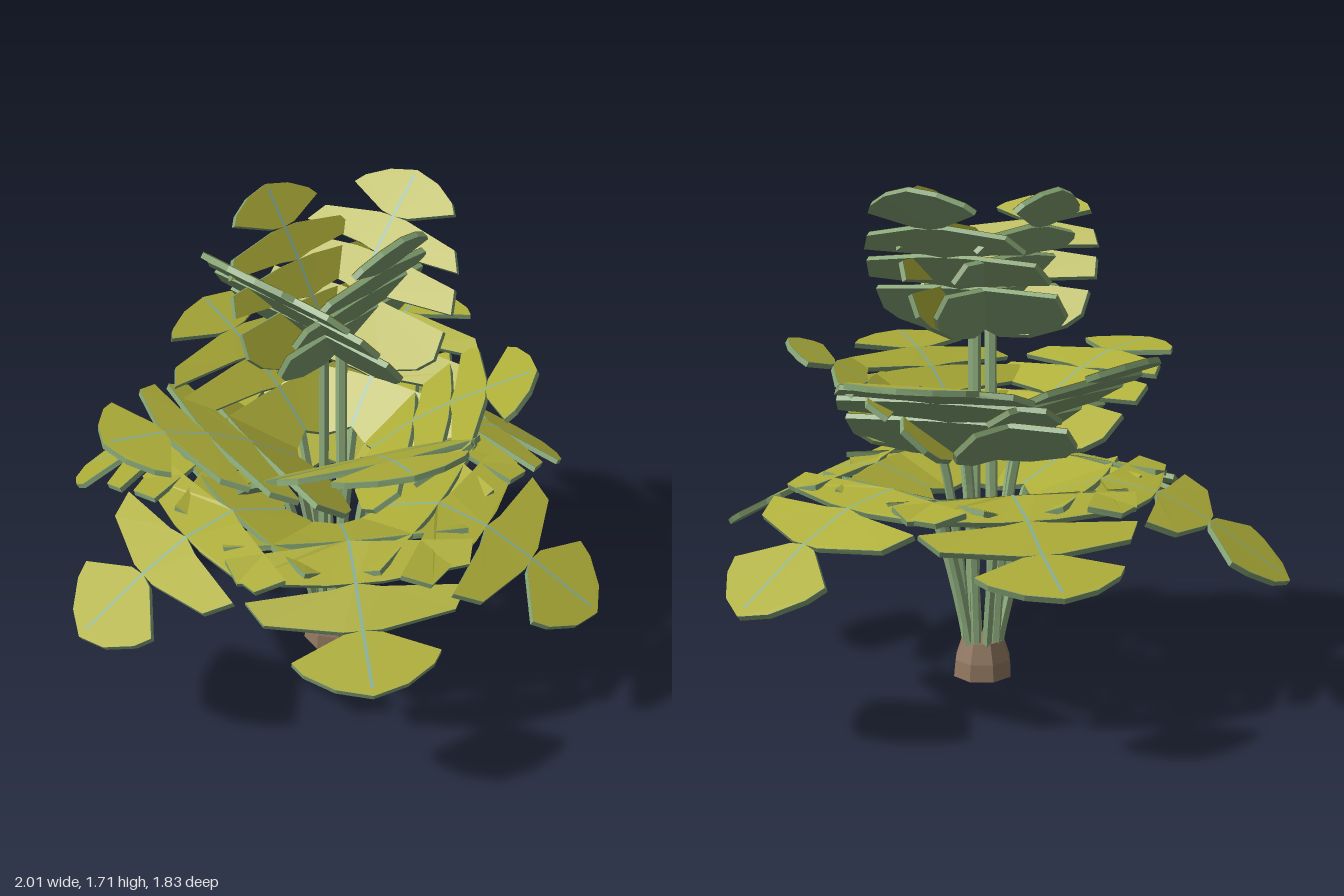
import * as THREE from 'three';

const mat = (name, color, side = THREE.FrontSide) =>
  Object.assign(new THREE.MeshStandardMaterial({ color, side }), { name });

// Lobes of one leaf half, from base to tip: [along the leaf 0..1, sideways]
const LOBES = [
  [[0, 0], [-0.07, 0.08], [-0.06, 0.22], [0.02, 0.36], [0.12, 0.41], [0.26, 0.4], [0.29, 0.08], [0.29, 0]],
  [[0.29, 0], [0.31, 0.07], [0.35, 0.4], [0.47, 0.37], [0.51, 0.09], [0.51, 0]],
  [[0.51, 0], [0.53, 0.08], [0.55, 0.35], [0.65, 0.3], [0.71, 0.06], [0.71, 0]],
  [[0.71, 0], [0.72, 0.06], [0.81, 0.23], [0.86, 0.2], [0.94, 0.11], [1, 0]],
];
const RIB = [0, 0.29, 0.51, 0.71, 0.95]; // midrib joints along the leaf
const CX = -0.02, CZ = 0.03; // centre of the crown
const THICK = 0.018;

// Leaf tiers: midrib from base to tip as [fraction of radius, height], then leaves as [tip x, tip y, tip z, width]
const TIERS = [
  {
    name: 'lower', start: [0.2, 0.65], mids: [[0.3, 0.73], [0.64, 0.635]], stem: [0.11, 0.38],
    leaves: [
      [1, 0.44, 0.01, 1], [0.43, 0.48, 0.89, 1], [-0.45, 0.57, 0.85, 1],
      [-1, 0.47, 0.01, 1], [-0.53, 0.43, -0.89, 1], [0.44, 0.56, -0.8, 1],
    ],
  },
  {
    name: 'middle', start: [0.14, 0.84], mids: [[0.3, 0.98], [0.65, 1.09]], stem: [0.07, 0.5],
    leaves: [
      [0.47, 1.19, 0.48, 0.97], [-0.18, 1.15, 0.67, 0.97], [-0.83, 1.13, -0.03, 0.97],
      [-0.14, 1.17, -0.6, 0.97], [0.62, 1.12, -0.28, 0.97],
    ],
  },
  {
    name: 'top', start: [0.03, 1.25], mids: [[0.3, 1.4], [0.65, 1.56]], stem: [0.04, 0.7],
    leaves: [
      [0.05, 1.7, 0.29, 0.77], [-0.44, 1.67, 0.1, 0.88],
      [-0.07, 1.7, -0.28, 0.77], [0.4, 1.7, -0.08, 0.88],
    ],
  },
];

// Bends a flat geometry (x sideways, y along, z thickness) onto a midrib curve
function bend(geometry, curve, lift) {
  const g = geometry.index ? geometry.toNonIndexed() : geometry;
  const p = g.attributes.position;
  for (let i = 0; i < p.count; i++) {
    const u = p.getY(i), t = Math.min(1, Math.max(0, u));
    const c = curve.getPoint(t), d = curve.getTangent(t);
    const over = (u - t) * 0.7, n = p.getZ(i) + lift;
    p.setXYZ(i, c.x + d.x * over - d.y * n, c.y + d.y * over + d.x * n, p.getX(i));
  }
  g.computeVertexNormals();
  return g;
}

const shapeOf = (pts) => new THREE.Shape(pts.map(([u, v]) => new THREE.Vector2(v, u)));

export function createModel() {
  const model = new THREE.Group();
  model.name = 'leafyPlant';
  const leafTop = mat('leaf yellow green', 0xaeae39, THREE.DoubleSide);
  const leafUnder = mat('leaf underside green', 0x84a374);
  const stemMat = mat('stalk light green', 0x92b181);
  const ribMat = mat('midrib pale teal', 0x86b09c, THREE.DoubleSide);
  const brown = mat('trunk brown', 0x927861);

  const add = (parent, name, geometry, material) => {
    const mesh = new THREE.Mesh(geometry, material);
    mesh.name = name;
    parent.add(mesh);
    return mesh;
  };

  // Faceted trunk stub
  const profile = [[0, 0], [0.108, 0], [0.102, 0.06], [0.078, 0.13], [0, 0.13]];
  const trunk = new THREE.LatheGeometry(
    profile.map(([r, y]) => new THREE.Vector2(r, y)), 8, Math.PI / 8).toNonIndexed();
  trunk.computeVertexNormals();
  add(model, 'trunk', trunk, brown).position.set(CX, 0, CZ);

  for (const tier of TIERS) {
    tier.leaves.forEach(([x, y, z, width], i) => {
      const dx = x - CX, dz = z - CZ, reach = Math.hypot(dx, dz);
      const leaf = new THREE.Group();
      leaf.name = `${tier.name}Leaf${i + 1}`;
      leaf.position.set(CX, 0, CZ);
      leaf.rotation.y = -Math.atan2(dz, dx);
      model.add(leaf);

      // Midrib curve in the radial plane
      const [r0, y0] = tier.start;
      const curve = new THREE.SplineCurve([
        new THREE.Vector2(r0, y0),
        ...tier.mids.map(([f, h]) => new THREE.Vector2(r0 + (reach - r0) * f, h)),
        new THREE.Vector2(reach, y),
      ]);

      // Blade: green slab of mirrored lobes with a thin yellow-green face on top
      const lobes = [1, -1].flatMap((s) =>
        LOBES.map((lobe) => shapeOf(lobe.map(([u, v]) => [u, v * s * width]))));
      const slab = new THREE.ExtrudeGeometry(lobes, { depth: THICK, bevelEnabled: false });
      add(leaf, 'leafUnderside', bend(slab, curve, -THICK / 2), leafUnder);
      add(leaf, 'leafTop', bend(new THREE.ShapeGeometry(lobes), curve, THICK / 2 + 0.002), leafTop);

      // Midrib line, one short strip per lobe
      const strips = RIB.slice(1).map((b, k) =>
        shapeOf([[RIB[k], -0.005], [RIB[k], 0.005], [b, 0.005], [b, -0.005]]));
      add(leaf, 'midrib', bend(new THREE.ShapeGeometry(strips), curve, THICK / 2 + 0.004), ribMat);

      // Stalk from the trunk to the blade
      const path = new THREE.QuadraticBezierCurve3(
        new THREE.Vector3(0.058, 0.1, 0),
        new THREE.Vector3(tier.stem[0], tier.stem[1], 0),
        new THREE.Vector3(r0 + 0.01, y0, 0));
      const stalk = new THREE.TubeGeometry(path, 6, 0.017, 5).toNonIndexed();
      stalk.computeVertexNormals();
      add(leaf, 'stalk', stalk, stemMat);
    });
  }
  return model;
}
